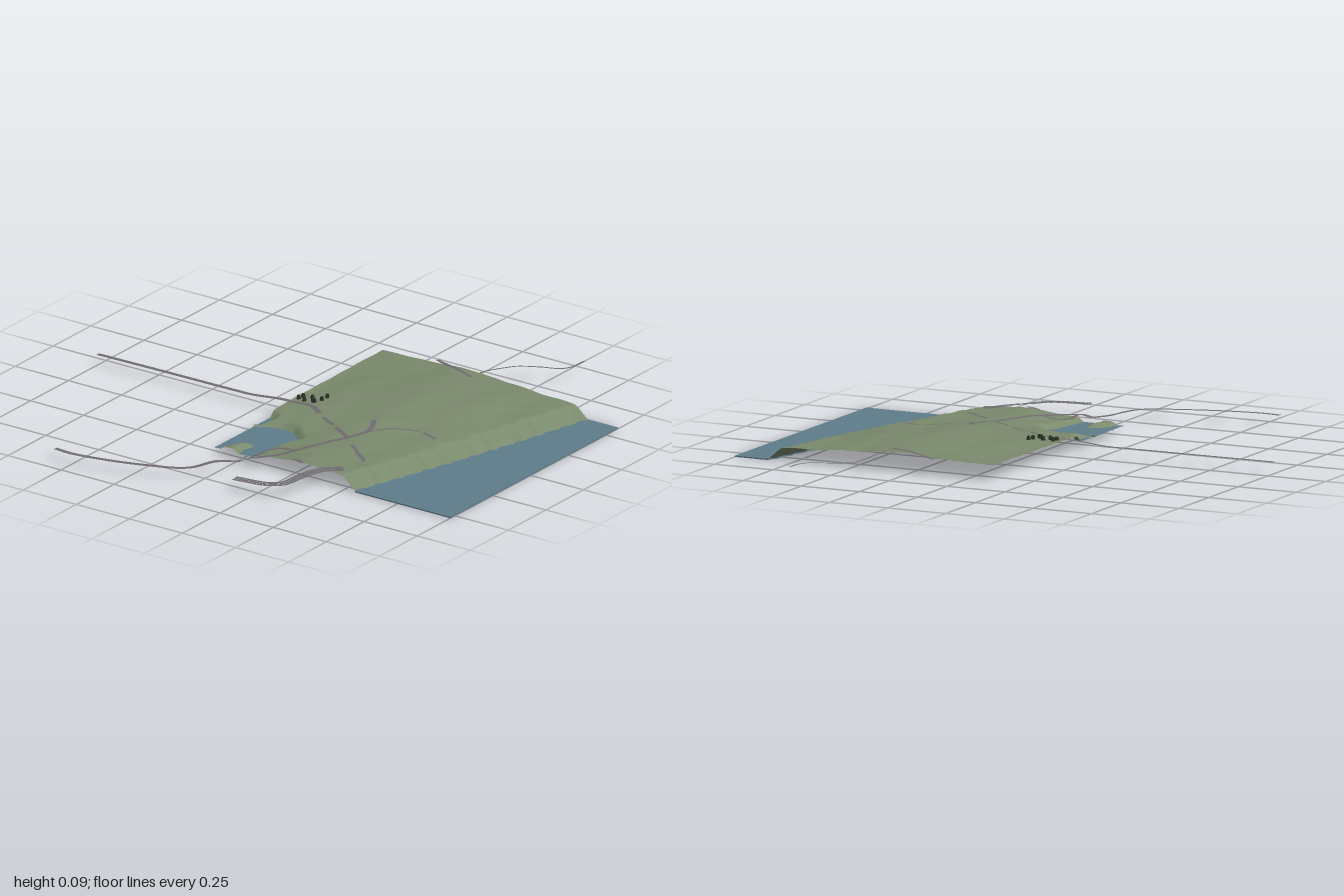
import * as THREE from 'three';

const X0 = -0.11, X1 = 1, Z0 = -0.58, Z1 = 0.53, POND_Y = 0.03, SEA_Y = 0.005;
const { lerp, clamp, smoothstep } = THREE.MathUtils;
const paint = (color) => new THREE.MeshStandardMaterial({ color, side: THREE.DoubleSide });
const landMat = paint(0x7a8a6c), waterMat = paint(0x607d8b), roadMat = paint(0x706c70);
const pathMat = paint(0x8a8070), treeMat = paint(0x2c3328);

// Lake outlines in x, z
const lake = [[-0.11, 0.28], [-0.07, 0.25], [0, 0.23], [0.05, 0.235], [0.09, 0.27], [0.12, 0.3],
  [0.09, 0.36], [0.075, 0.44], [0.06, 0.54], [-0.11, 0.54]];
const inlet = [[-0.12, 0.16], [-0.09, 0.17], [-0.085, 0.2], [-0.095, 0.25], [-0.12, 0.26]];
const island = [[-0.09, 0.56], [-0.08, 0.49], [-0.05, 0.44], [-0.01, 0.425], [0.01, 0.44], [-0.005, 0.49], [0.005, 0.56]];

// Coarse ground heights, rows along z and columns along x
const gridX = [-0.11, 0.1, 0.3, 0.5, 0.7, 0.9];
const gridZ = [-0.58, -0.25, 0, 0.25, 0.53];
const heights = [
  [0.062, 0.068, 0.078, 0.067, 0.056, 0.05],
  [0.06, 0.076, 0.09, 0.08, 0.058, 0.05],
  [0.06, 0.068, 0.08, 0.066, 0.055, 0.05],
  [0.048, 0.052, 0.063, 0.057, 0.052, 0.05],
  [0.042, 0.047, 0.065, 0.056, 0.05, 0.05],
];

function cell(list, v) {
  let i = 0;
  while (i < list.length - 2 && v > list[i + 1]) i++;
  return [i, smoothstep(v, list[i], list[i + 1])];
}

// Distance to a polygon, negative inside
function polyDistance(poly, x, z) {
  let best = Infinity, inside = false;
  poly.forEach(([ax, az], i) => {
    const [bx, bz] = poly[(i + 1) % poly.length];
    const dx = bx - ax, dz = bz - az;
    const t = clamp(((x - ax) * dx + (z - az) * dz) / (dx * dx + dz * dz), 0, 1);
    best = Math.min(best, Math.hypot(x - ax - t * dx, z - az - t * dz));
    if ((az > z) !== (bz > z) && x < ax + ((z - az) / dz) * dx) inside = !inside;
  });
  return inside ? -best : best;
}

const shore = (x, z) => Math.min(
  Math.max(polyDistance(lake, x, z), -polyDistance(island, x, z)), polyDistance(inlet, x, z));

const coast = (z) => lerp(0.86, 0.555, (z - Z0) / (Z1 - Z0))
  + 0.012 * Math.sin((z + 0.6) * 3) + 0.005 * Math.sin(z * 85) + 0.003 * Math.sin(z * 143 + 1);

function ground(x, z) {
  const [i, s] = cell(gridX, x), [j, t] = cell(gridZ, z);
  let h = lerp(lerp(heights[j][i], heights[j][i + 1], s), lerp(heights[j + 1][i], heights[j + 1][i + 1], s), t);
  h += 0.0015 * Math.sin(x * 31 + 2 * Math.sin(z * 17)) * Math.cos(z * 27 + x * 9);
  h = lerp(POND_Y - 0.005, h, smoothstep(shore(x, z), -0.012, 0.03));
  return h * smoothstep(coast(z) - x, -0.01, 0.075);
}

// Surface from rows of points, leaving out quads the filter rejects
function surface(name, rows, material, keep = () => true) {
  const n = rows[0].length, index = [];
  for (let j = 0; j < rows.length - 1; j++) {
    for (let i = 0; i < n - 1; i++) {
      const a = j * n + i, b = a + n;
      if (keep(rows[j][i], rows[j + 1][i + 1])) index.push(a, b, a + 1, a + 1, b, b + 1);
    }
  }
  const geo = new THREE.BufferGeometry();
  geo.setAttribute('position', new THREE.Float32BufferAttribute(rows.flat(2), 3));
  geo.setIndex(index);
  geo.computeVertexNormals();
  const mesh = new THREE.Mesh(geo, material);
  mesh.name = name;
  return mesh;
}

// Flat shape in x, z, laid at a height
function sheet(name, outline, y, depth, hole) {
  const toPoints = (list) => list.map(([x, z]) => new THREE.Vector2(clamp(x, X0, X1), -clamp(z, Z0, Z1)));
  const shape = new THREE.Shape(toPoints(outline));
  if (hole) shape.holes.push(new THREE.Path(toPoints(hole)));
  const geo = depth ? new THREE.ExtrudeGeometry(shape, { depth, bevelEnabled: false }) : new THREE.ShapeGeometry(shape);
  geo.rotateX(-Math.PI / 2).translate(0, y, 0);
  const mesh = new THREE.Mesh(geo, waterMat);
  mesh.name = name;
  return mesh;
}

// Ribbon that follows the ground and levels out beyond the edge of the land
function ribbon(name, points, width, material = roadMat, endY = 0.045, offset = 0) {
  const curve = new THREE.CatmullRomCurve3(points.map(([x, z]) => new THREE.Vector3(x, 0, z)), false, 'centripetal');
  const count = Math.max(8, Math.ceil(curve.getLength() / 0.012)), rows = [];
  for (let k = 0; k <= count; k++) {
    const p = curve.getPointAt(k / count), d = curve.getTangentAt(k / count);
    const row = [];
    for (const side of [-1, 0, 1]) {
      const w = offset + side * width / 2;
      const x = p.x + d.z * w, z = p.z - d.x * w;
      const cx = clamp(x, X0, X1), cz = clamp(z, Z0, Z1);
      const out = Math.hypot(x - cx, z - cz);
      const base = Math.max(ground(cx, cz), POND_Y);
      row.push([x, lerp(base + 0.002, endY, smoothstep(out, 0, 0.2)), z]);
    }
    rows.push(row.reverse());
  }
  return surface(name, rows, material);
}

export function createModel() {
  const model = new THREE.Group();

  // Land, stretched from the west edge to the coast
  const rows = [];
  for (let j = 0; j <= 110; j++) {
    const z = lerp(Z0, Z1, j / 110), row = [];
    for (let i = 0; i <= 120; i++) {
      const x = lerp(X0, coast(z) + 0.01, i / 120);
      row.push([x, ground(x, z), z]);
    }
    rows.push(row);
  }
  model.add(surface('land', rows, landMat, (a, b) => shore((a[0] + b[0]) / 2, (a[2] + b[2]) / 2) > -0.008));

  // Sea and lake
  const sea = [[X1, Z1], [X1, Z0]];
  for (let j = 0; j <= 60; j++) {
    const z = lerp(Z0, Z1, j / 60);
    sea.push([coast(z) - 0.008, z]);
  }
  model.add(sheet('sea', sea, 0, SEA_Y));
  // Island reaches the south edge, so it notches the lake outline
  const lakeOutline = [...lake.slice(0, 9), ...[...island].reverse(), lake[9]];
  model.add(sheet('lake', lakeOutline, POND_Y, 0));
  model.add(sheet('lakeInlet', inlet, POND_Y, 0));

  // Main roads
  model.add(ribbon('westRoad', [[-1, 0.055], [-0.7, 0.05], [-0.4, 0.047], [-0.1, 0.042], [0, 0.045], [0.07, 0.09]], 0.02));
  model.add(ribbon('southRoad', [[-0.58, 0.925], [-0.5, 0.93], [-0.35, 0.905], [-0.2, 0.86], [-0.08, 0.81],
    [-0.04, 0.77], [0, 0.66], [0.06, 0.6], [0.14, 0.53], [0.2, 0.44], [0.27, 0.28], [0.33, 0.13], [0.3, 0.05]], 0.02));
  for (const lane of [-0.014, 0, 0.014]) {
    model.add(ribbon('harbourRoadLane', [[0.16, 0.78], [0.22, 0.772], [0.3, 0.755], [0.345, 0.715], [0.365, 0.64],
      [0.39, 0.57], [0.42, 0.52], [0.46, 0.475]], 0.0125, roadMat, 0.05, lane));
  }

  // Short road stretches
  const stretches = [
    [[0.1, 0.11], [0.18, 0.15]], [[0.2, 0.165], [0.29, 0.22]], [[0.35, 0.27], [0.48, 0.37]],
    [[0.1, 0.55], [0.1, 0.47], [0.13, 0.435], [0.21, 0.44]], [[0.51, 0.02], [0.58, 0.04]],
    [[0.25, 0.52], [0.31, 0.537]], [[0.13, -0.605], [0.2, -0.575], [0.35, -0.52]],
  ];
  for (const points of stretches) model.add(ribbon('roadStretch', points, 0.016));
  model.add(ribbon('innerRoad', [[0.32, 0.16], [0.38, 0.09], [0.44, 0.04], [0.49, 0.02]], 0.009));

  // Paths
  model.add(ribbon('northRoad', [[0.58, -0.945], [0.575, -0.87], [0.55, -0.83], [0.48, -0.8], [0.4, -0.75],
    [0.38, -0.7], [0.35, -0.58]], 0.009, roadMat, 0.058));
  model.add(ribbon('northPath', [[0.35, -0.58], [0.36, -0.53], [0.34, -0.4], [0.3, -0.27], [0.23, -0.22],
    [0.1, -0.08], [0, 0.03]], 0.006, pathMat));
  model.add(ribbon('eastPath', [[0.35, -0.52], [0.43, -0.44], [0.48, -0.35], [0.49, -0.2], [0.49, 0.02]], 0.003, pathMat));
  model.add(ribbon('spurPath', [[0.23, -0.22], [0.27, -0.15], [0.29, -0.05], [0.3, 0.05]], 0.004, pathMat));

  // Small clump of trees beside the west road
  const trees = [[-0.09, 0.003], [-0.06, 0.008], [-0.025, 0], [-0.045, -0.025], [0, -0.06], [-0.003, -0.028], [-0.015, 0.004], [-0.085, -0.02]];
  for (const [x, z] of trees) {
    const tree = new THREE.Mesh(new THREE.CylinderGeometry(0.006, 0.009, 0.016, 6), treeMat);
    tree.name = 'tree';
    tree.position.set(x, ground(x, z) + 0.007, z);
    model.add(tree);
  }
  return model;
}
